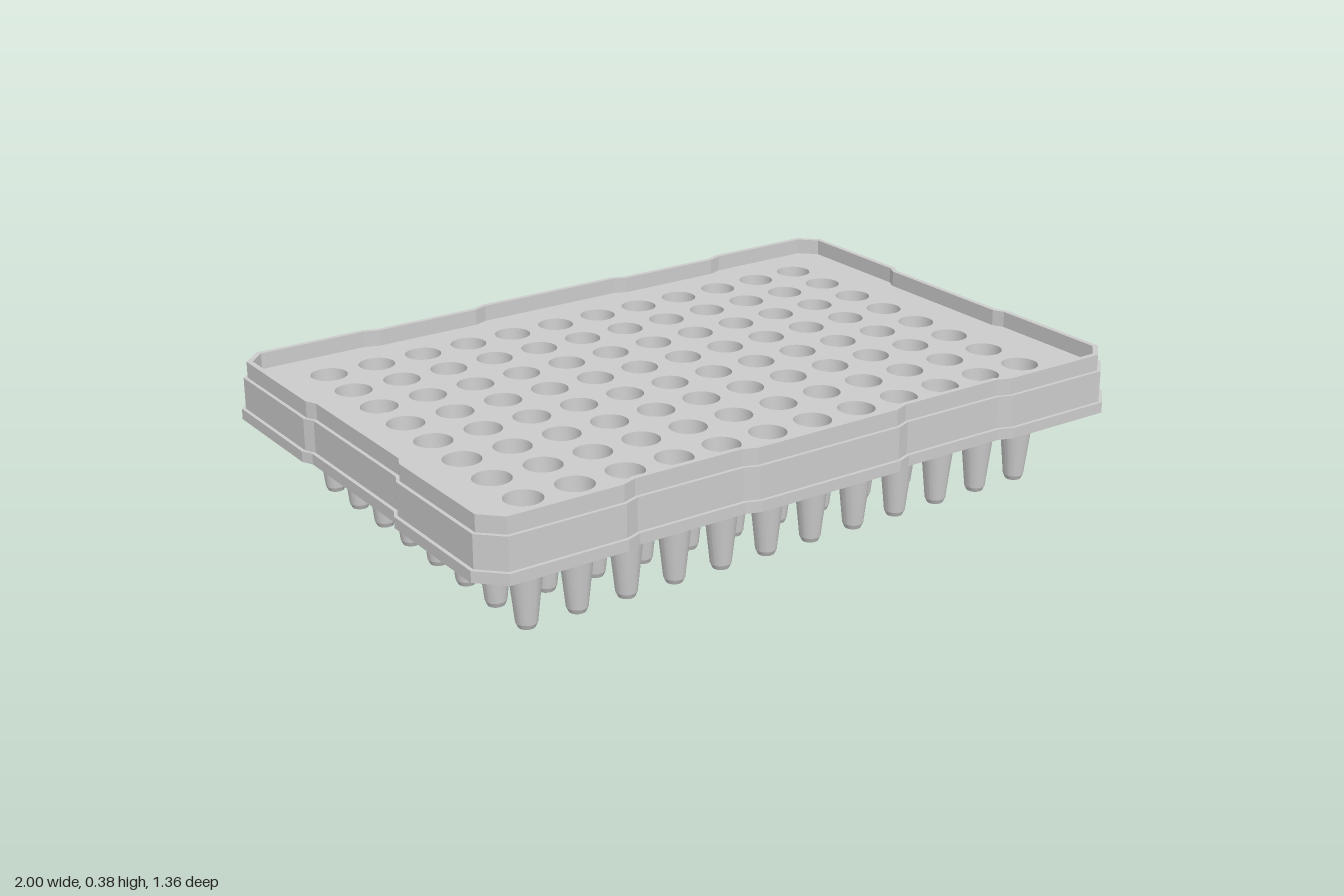
import * as THREE from 'three';
import { toCreasedNormals } from 'three/addons/utils/BufferGeometryUtils.js';

const COLS = 12, ROWS = 8, PITCH = 0.1437;
const BASE_Y = 0.217, DECK_Y = 0.335, TOP_Y = 0.38;
const WELL_R = 0.05, SEGMENTS = 24;

// Plate outline inset by d: clipped corners and shallow notches, one quarter mirrored
function outline(d) {
  const x = 1 - d, z = 0.68 - d, n = 0.015, c = d * 0.41;
  const q = [
    [x - n, 0.22], [x, 0.25], [x, 0.615 - c], [0.935 - c, z],
    [0.61, z], [0.57, z - n], [0.26, z - n], [0.22, z],
  ];
  const r = [...q].reverse();
  return [
    ...q,
    ...r.map(([a, b]) => [-a, b]),
    ...q.map(([a, b]) => [-a, -b]),
    ...r.map(([a, b]) => [a, -b]),
  ];
}

// Flat-shaded wall joining outlines given as [inset, height]
function wallGeometry(steps) {
  const rings = steps.map(([d, y]) => outline(d).map(([a, b]) => [a, y, -b]));
  const pos = [];
  for (let k = 0; k < rings.length - 1; k++) {
    const lo = rings[k], hi = rings[k + 1];
    for (let i = 0; i < lo.length; i++) {
      const j = (i + 1) % lo.length;
      pos.push(...lo[i], ...lo[j], ...hi[j], ...lo[i], ...hi[j], ...hi[i]);
    }
  }
  const g = new THREE.BufferGeometry();
  g.setAttribute('position', new THREE.Float32BufferAttribute(pos, 3));
  g.computeVertexNormals();
  return g;
}

function wellCentres() {
  const list = [];
  for (let r = 0; r < ROWS; r++) {
    for (let c = 0; c < COLS; c++) {
      list.push([(c - (COLS - 1) / 2) * PITCH, (r - (ROWS - 1) / 2) * PITCH]);
    }
  }
  return list;
}

// Flat sheet with a round opening at every well
function sheetGeometry(d, y, facing) {
  const shape = new THREE.Shape(outline(d).map(([a, b]) => new THREE.Vector2(a, b)));
  for (const [x, z] of wellCentres()) {
    const hole = new THREE.Path();
    hole.absarc(x, z, WELL_R, 0, Math.PI * 2, true);
    shape.holes.push(hole);
  }
  return new THREE.ShapeGeometry(shape, SEGMENTS / 2)
    .rotateX(-facing * Math.PI / 2)
    .translate(0, y, 0);
}

function lathe(points) {
  const g = new THREE.LatheGeometry(points.map(([r, y]) => new THREE.Vector2(r, y)), SEGMENTS);
  return toCreasedNormals(g, 0.3);
}

export function createModel() {
  const model = new THREE.Group();
  model.name = 'wellPlate';
  const grey = new THREE.MeshStandardMaterial({ color: 0xcccccc });
  const thin = new THREE.MeshStandardMaterial({ color: 0xcccccc, side: THREE.DoubleSide });

  const add = (parent, name, geometry, material) => {
    const mesh = new THREE.Mesh(geometry, material);
    mesh.name = name;
    parent.add(mesh);
    return mesh;
  };

  // Stepped skirt, raised rim and the rim's inner face
  add(model, 'skirtAndRim', wallGeometry([
    [0, BASE_Y], [0, 0.247], [0.01, 0.247], [0.01, DECK_Y],
    [0.02, DECK_Y], [0.02, TOP_Y], [0.035, TOP_Y], [0.035, DECK_Y],
  ]), grey);

  // Recessed deck and underside
  add(model, 'deck', sheetGeometry(0.035, DECK_Y, 1), grey);
  add(model, 'underside', sheetGeometry(0, BASE_Y, -1), grey);

  // Tapered tubes below, with hollow wells opening through the deck
  const tube = lathe([[0, 0], [0.022, 0], [0.028, 0.013], [WELL_R, BASE_Y]]);
  const well = lathe([
    [WELL_R, DECK_Y], [0.042, BASE_Y], [0.024, 0.03], [0.01, 0.014], [0, 0.014],
  ]);
  const wells = new THREE.Group();
  wells.name = 'wells';
  model.add(wells);
  for (const [x, z] of wellCentres()) {
    add(wells, 'tube', tube, thin).position.set(x, 0, z);
    add(wells, 'wellInterior', well, thin).position.set(x, 0, z);
  }
  return model;
}
